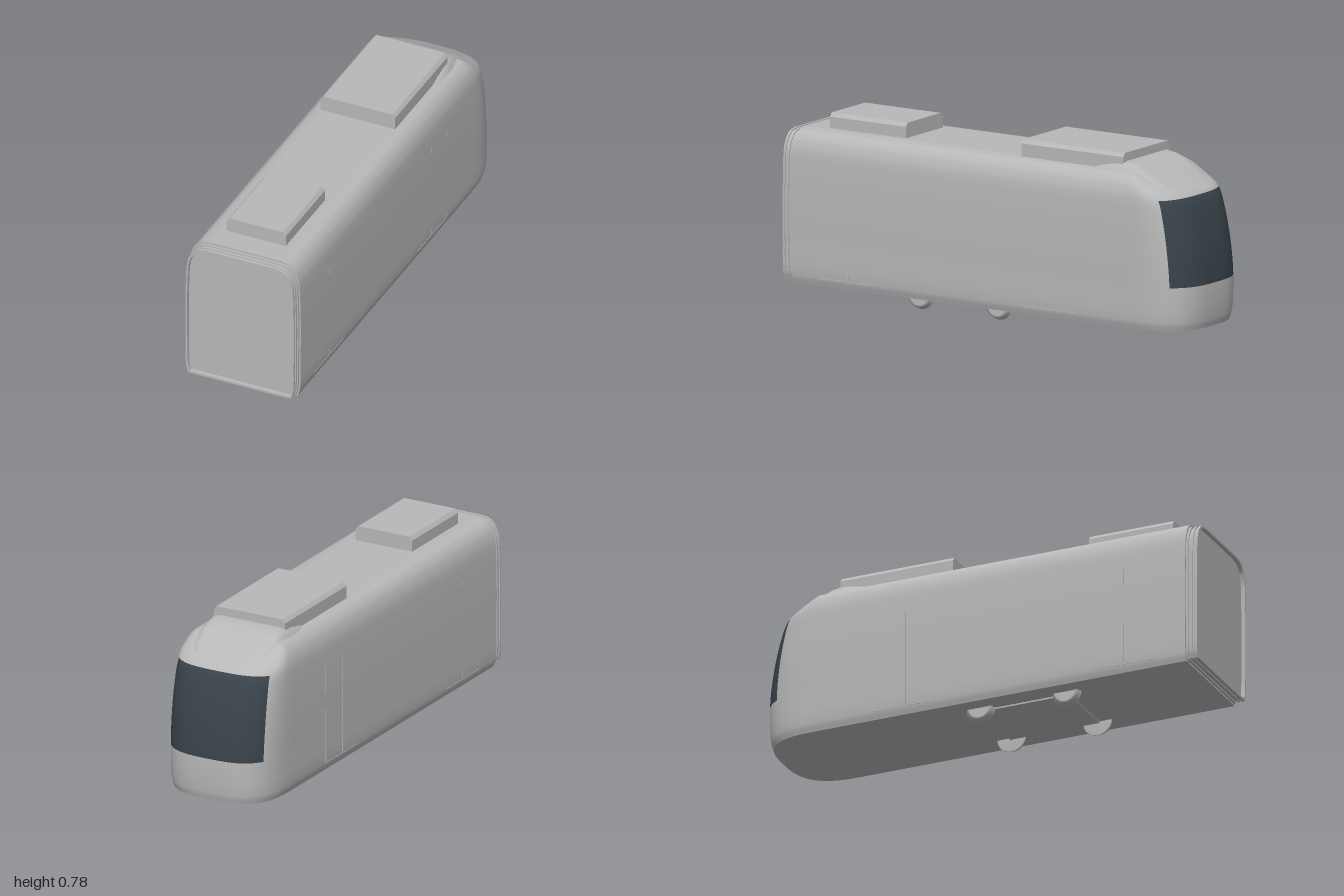
import * as THREE from 'three';

const paint = new THREE.MeshStandardMaterial({ color: 0xb8b8b8 });
paint.name = 'grey paint';
const glass = new THREE.MeshStandardMaterial({ color: 0x39434a });
glass.name = 'dark glass';

// Hull profile: half width, height, foremost z of the nose
const PROFILE = [
  [0.242, 0.065, -0.985], [0.252, 0.1, -0.994], [0.255, 0.25, -1], [0.256, 0.4, -0.982],
  [0.254, 0.52, -0.953], [0.25, 0.61, -0.916], [0.241, 0.65, -0.85], [0.226, 0.68, -0.79],
  [0.2, 0.703, -0.75], [0.16, 0.711, -0.73],
].map((p) => new THREE.Vector3(...p));
const SUB = 4;
const rows = new THREE.CatmullRomCurve3(PROFILE).getPoints((PROFILE.length - 1) * SUB);
const NOSE_Z = -0.72, REAR_Z = 0.95, COLS = 30;

function mesh(name, geometry, material = paint) {
  const m = new THREE.Mesh(geometry, material);
  m.name = name;
  return m;
}

// Plan outline of one level: along one side, round the nose, back along the other
function outline({ x: w, z: front }) {
  const pts = [[w, REAR_Z]];
  for (let i = 0; i <= COLS; i++) {
    const a = Math.PI / 2 - (i / COLS) * Math.PI;
    const s = Math.sin(a), c = Math.max(0, Math.cos(a));
    pts.push([w * Math.sign(s) * Math.abs(s) ** 0.67, NOSE_Z + (front - NOSE_Z) * c ** 0.67]);
  }
  pts.push([-w, REAR_Z]);
  return pts;
}

// Triangles for a grid of points; inGlass picks the cells of a second material
function gridGeometry(grid, inGlass = () => false) {
  const n = grid[0].length, sets = [[], []];
  for (let j = 0; j < grid.length - 1; j++) for (let i = 0; i < n - 1; i++) {
    const a = j * n + i;
    sets[inGlass(j, i) ? 1 : 0].push(a, a + 1, a + n, a + 1, a + n + 1, a + n);
  }
  const g = new THREE.BufferGeometry();
  g.setAttribute('position', new THREE.Float32BufferAttribute(grid.flat(2), 3));
  g.setIndex([...sets[0], ...sets[1]]);
  g.addGroup(0, sets[0].length, 0);
  g.addGroup(sets[0].length, sets[1].length, 1);
  g.computeVertexNormals();
  return g;
}

// Flat lid on a level of the hull, facing up or down
function lid(name, row, up) {
  const pts = outline(row).map(([x, z]) => new THREE.Vector2(x, up ? -z : z));
  const g = new THREE.ShapeGeometry(new THREE.Shape(pts));
  g.rotateX(up ? -Math.PI / 2 : Math.PI / 2).translate(0, row.y, 0);
  return mesh(name, g);
}

// Scaled cross-section of the hull
function section(scale) {
  const half = rows.map((r) => [r.x * scale, 0.388 + (r.y - 0.388) * scale]);
  const all = [...half, ...half.slice().reverse().map(([x, y]) => [-x, y])];
  return all.map((p) => new THREE.Vector2(...p));
}

// Roof unit with chamfered upper corners
function roofUnit(name, w, top, z0, z1) {
  const c = 0.016, b = 0.7;
  const s = new THREE.Shape([[-w, b], [w, b], [w, top - c], [w - c * 0.8, top], [c * 0.8 - w, top], [-w, top - c]]
    .map((p) => new THREE.Vector2(...p)));
  const g = new THREE.ExtrudeGeometry(s, { depth: z1 - z0, bevelEnabled: false });
  return mesh(name, g.translate(0, 0, z0));
}

export function createModel() {
  const model = new THREE.Group();
  model.name = 'railCar';

  // Hull with wraparound windscreen
  const grid = rows.map((r) => outline(r).map(([x, z]) => [x, r.y, z]));
  const inGlass = (j, i) => j >= 2 * SUB && j < 5 * SUB && i >= 7 && i < 25;
  model.add(mesh('hull', gridGeometry(grid, inGlass), [paint, glass]));
  model.add(lid('roof', rows[rows.length - 1], true), lid('underside', rows[0], false));
  const rear = mesh('rearBulkhead', new THREE.ShapeGeometry(new THREE.Shape(section(1))));
  rear.position.z = REAR_Z;
  model.add(rear);

  // Ribbed gangway frame around a recessed end panel
  [0.975, 0.955, 0.97, 0.955, 0.97].forEach((scale, i) => {
    const s = new THREE.Shape(section(scale));
    s.holes.push(new THREE.Path(section(0.94)));
    const g = new THREE.ExtrudeGeometry(s, { depth: 0.01, bevelEnabled: false });
    model.add(mesh('gangwayRib', g.translate(0, 0, REAR_Z + i * 0.01)));
  });
  const panel = mesh('endPanel', new THREE.ShapeGeometry(new THREE.Shape(section(0.95))));
  panel.position.z = 0.982;
  model.add(panel);

  // Roof equipment
  model.add(roofUnit('frontRoofUnit', 0.17, 0.78, -0.65, -0.14));
  model.add(roofUnit('rearRoofUnit', 0.135, 0.775, 0.46, 0.84));

  // Fairing that blends the front roof unit into the nose: z, half width, top
  const fairing = [[-0.48, 0.17, 0.711], [-0.54, 0.186, 0.728], [-0.6, 0.192, 0.738], [-0.65, 0.19, 0.744],
    [-0.69, 0.185, 0.738], [-0.74, 0.18, 0.718], [-0.8, 0.17, 0.682], [-0.86, 0.15, 0.645]]
    .map(([z, w, top]) => {
      const base = Math.min(0.705, top - 0.012);
      return [[1, 0], [0.95, 0.45], [0.88, 0.85], [0.75, 1], [0, 1], [-0.75, 1], [-0.88, 0.85], [-0.95, 0.45], [-1, 0]]
        .map(([u, v]) => [u * w, base + (top - base) * v, z]);
    });
  model.add(mesh('roofFairing', gridGeometry(fairing.reverse())));

  // Door seams: vertical lines and sills on both sides
  for (const side of [-1, 1]) {
    const seam = (name, z, y, depth, height, x) => {
      const m = mesh(name, new THREE.BoxGeometry(0.004, height, depth));
      m.position.set(side * x, y, z);
      model.add(m);
    };
    for (const z of [0.67, -0.32, -0.46]) seam('doorSeam', z, 0.32, 0.004, 0.42, 0.2545);
    for (const z of [0.67, -0.325]) seam('doorSill', z, 0.1, 0.275, 0.004, 0.2515);
  }

  // Wheels with inner flanges, and axles
  for (const z of [0.37, -0.02]) {
    const axle = mesh('axle', new THREE.CylinderGeometry(0.01, 0.01, 0.31, 12).rotateZ(Math.PI / 2));
    axle.position.set(0, 0.066, z);
    model.add(axle);
    for (const side of [-1, 1]) {
      const profile = [[0, -0.012], [0.064, -0.012], [0.066, -0.007], [0.058, -0.003], [0.055, 0.014], [0.045, 0.014], [0, 0.012]]
        .map((p) => new THREE.Vector2(...p));
      const wheel = mesh('wheel', new THREE.LatheGeometry(profile, 32).rotateZ(-side * Math.PI / 2));
      wheel.position.set(side * 0.162, 0.07, z);
      model.add(wheel);
    }
  }
  // Bogie cover between the axles
  const bogie = mesh('bogieCover', new THREE.BoxGeometry(0.3, 0.008, 0.39));
  bogie.position.set(0, 0.062, 0.175);
  model.add(bogie);
  return model;
}
